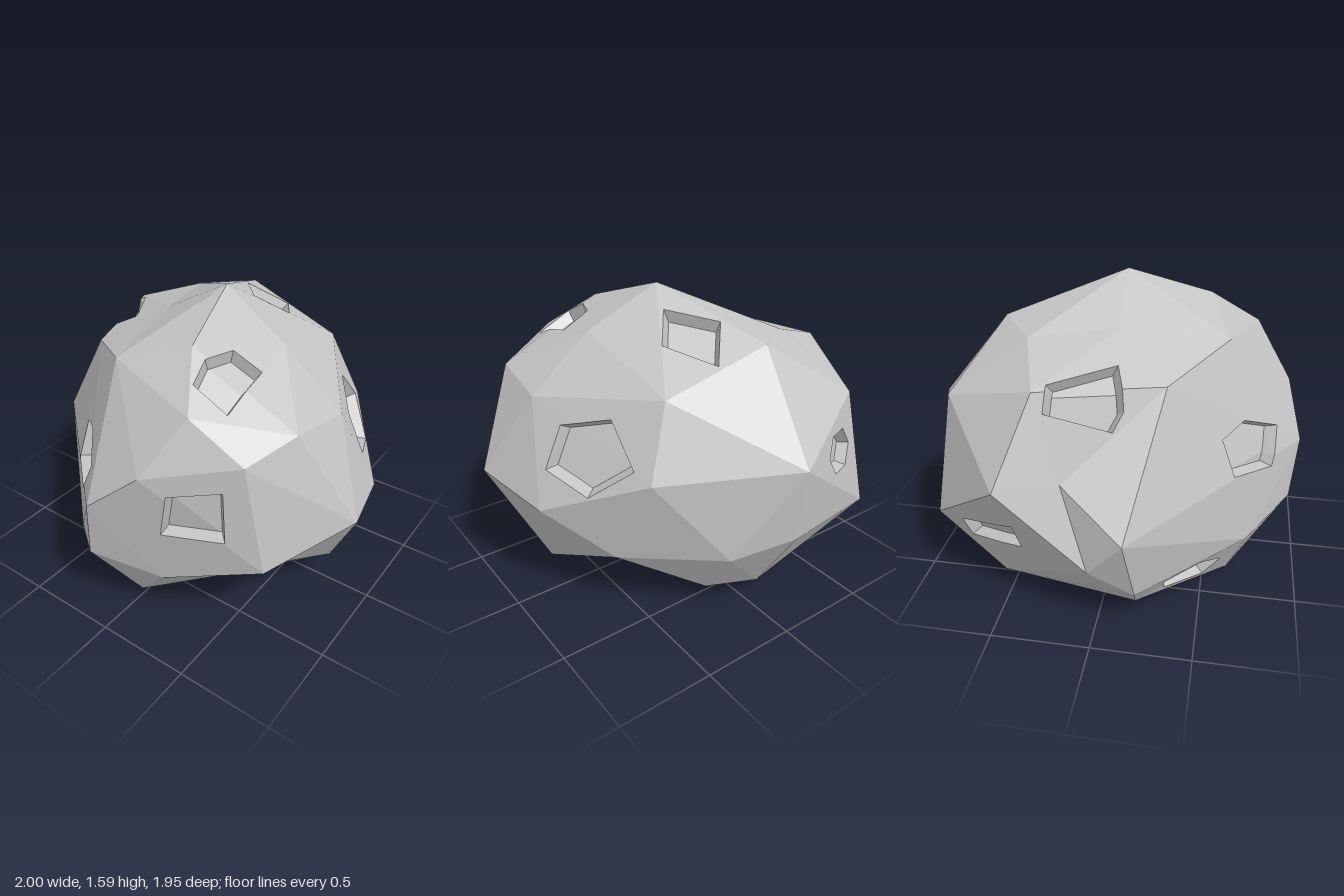
import * as THREE from 'three';
import { ConvexGeometry } from 'three/addons/geometries/ConvexGeometry.js';

const V = (p) => new THREE.Vector3(...p);
const CORE = new THREE.Vector3(0, 0.7, 0);

// Corners of the boulder
const corners = [
  // crown
  [.07, 1.59, .02], [.18, 1.45, .45], [-.19, 1.33, .57], [-.29, 1.39, .03],
  [.45, 1.39, .08], [-.41, 1.36, -.4], [-.15, 1.38, -.58], [.405, 1.21, -.52],
  // shoulders
  [.35, 1.25, .71], [.75, 1.17, .44], [.63, 1.08, .68], [.78, 1.12, .08],
  [-.76, 1.24, -.29], [-.56, 1.22, .3], [-.56, 1.1, -.77],
  // girth
  [1, .69, .27], [.2, .97, .9], [-.07, .74, .97], [.735, .52, .66],
  [-1, .62, .16], [-.97, .82, -.44], [-.08, .89, -.98], [.55, .85, -.61],
  [.9, .62, -.15], [-.115, .415, .94], [-.655, .47, -.85], [-.08, .49, -.935],
  // underside
  [.25, .34, .81], [.77, .2, .03], [.63, .38, -.41], [.22, .41, -.8],
  [-.4, .3, .72], [-.87, .245, .2], [-.93, .4, -.02], [-.76, .115, .19],
  [-.645, .13, -.52], [-.085, .08, -.675], [.2, .115, -.59], [.01, .05, .71],
  [.355, 0, .22], [-.28, .01, .63],
];

// Corners that lie in shallow hollows
const hollows = [
  [-.845, .82, -.155], [.43, .275, .575], [.57, .32, .45], [.5, .2, -.1],
];

// Rims of the pits cut into the surface
const pits = [
  [[-.45, .9, .59], [-.32, .95, .69], [-.16, .86, .84], [-.24, .66, .82], [-.45, .7, .64]],
  [[.32, .89, .85], [.555, .94, .74], [.57, .67, .74], [.28, .645, .86]],
  [[.31, 1.4, .31], [.475, 1.36, .31], [.47, 1.24, .58], [.28, 1.33, .58], [.25, 1.38, .45]],
  [[.77, 1.03, -.13], [.62, 1.1, -.35], [.56, .89, -.5], [.72, .73, -.34], [.83, .81, -.11]],
  [[.105, 1.31, -.53], [.25, 1.36, -.28], [.125, 1.47, -.12], [-.05, 1.45, -.35]],
  [[-.77, 1.14, -.24], [-.69, 1.24, -.24], [-.5, 1.28, .06], [-.68, 1.15, .12], [-.74, 1.08, .08]],
  [[-.31, .85, -.93], [-.36, .95, -.9], [-.47, .95, -.86], [-.53, .85, -.85], [-.48, .75, -.88], [-.37, .75, -.92]],
  [[-.73, .2, .34], [-.59, .24, .5], [-.455, .155, .62], [-.455, .06, .52], [-.65, .115, .33]],
  [[-.75, .48, -.71], [-.72, .36, -.68], [-.87, .42, -.38], [-.92, .58, -.4]],
];

// Rounded stand-in for a corner, pushed out by a factor
function rounded(p, push) {
  const d = V(p).sub(CORE);
  return d.setLength(push * Math.pow(d.length(), 0.6)).add(CORE);
}

// Skin the rounded stand-ins, then put each corner back in its true place
function skin() {
  const trueCorners = [...corners, ...hollows].map(V);
  const standIns = [...corners.map((c) => rounded(c, 1)), ...hollows.map((c) => rounded(c, 1.12))];
  const pos = new ConvexGeometry(standIns).attributes.position;
  const restore = (i) => {
    const p = new THREE.Vector3().fromBufferAttribute(pos, i);
    return trueCorners[standIns.findIndex((s) => s.distanceTo(p) < 1e-4)];
  };
  const faces = [];
  for (let i = 0; i < pos.count; i += 3) faces.push([restore(i), restore(i + 1), restore(i + 2)]);
  return faces;
}

function polygonNormal(poly) {
  const n = new THREE.Vector3();
  for (let i = 1; i < poly.length - 1; i++) {
    n.add(poly[i].clone().sub(poly[0]).cross(poly[i + 1].clone().sub(poly[0])));
  }
  return n.normalize();
}

// Split a polygon by a plane into the parts in front of and behind it
function split(poly, plane) {
  const front = [], back = [];
  poly.forEach((a, i) => {
    const b = poly[(i + 1) % poly.length];
    const da = plane.distanceToPoint(a), db = plane.distanceToPoint(b);
    if (da >= -1e-6) front.push(a);
    if (da <= 1e-6) back.push(a);
    if ((da > 1e-6 && db < -1e-6) || (da < -1e-6 && db > 1e-6)) {
      const m = a.clone().lerp(b, da / (da - db));
      front.push(m);
      back.push(m);
    }
  });
  return [front, back];
}

// Cut one pit: returns the remaining surface, and adds walls and floor to inner
function cutPit(faces, rimPoints, inner) {
  const rim = rimPoints.map(V);
  const mid = rim.reduce((s, p) => s.add(p), new THREE.Vector3()).divideScalar(rim.length);
  const n = polygonNormal(rim);
  if (n.dot(mid.clone().sub(CORE)) < 0) {
    rim.reverse();
    n.negate();
  }
  const planes = rim.map((a, i) => {
    const edge = rim[(i + 1) % rim.length].clone().sub(a);
    return new THREE.Plane().setFromNormalAndCoplanarPoint(n.clone().cross(edge).normalize(), a);
  });
  const sink = (p) => p.clone().sub(mid).multiplyScalar(0.84).add(mid).addScaledVector(n, -0.06);
  const rest = [];
  for (const face of faces) {
    if (polygonNormal(face).dot(n) < 0.2) {
      rest.push(face);
      continue;
    }
    let piece = face;
    const outside = [];
    for (const plane of planes) {
      const [front, back] = split(piece, plane);
      if (back.length > 2) outside.push(back);
      piece = front;
      if (piece.length < 3) break;
    }
    if (piece.length < 3) {
      rest.push(face);
      continue;
    }
    rest.push(...outside);
    inner.push(piece.map(sink));
    piece.forEach((a, i) => {
      const b = piece[(i + 1) % piece.length];
      const onRim = planes.some((q) => Math.abs(q.distanceToPoint(a)) < 1e-5 && Math.abs(q.distanceToPoint(b)) < 1e-5);
      if (onRim) inner.push([a, b, sink(b), sink(a)]);
    });
  }
  return rest;
}

function meshFrom(polys, material, name) {
  const points = [];
  for (const p of polys) {
    for (let i = 1; i < p.length - 1; i++) points.push(p[0], p[i], p[i + 1]);
  }
  const geometry = new THREE.BufferGeometry().setFromPoints(points);
  geometry.computeVertexNormals();
  const mesh = new THREE.Mesh(geometry, material);
  mesh.name = name;
  return mesh;
}

export function createModel() {
  const group = new THREE.Group();
  group.name = 'boulder';
  const stone = new THREE.MeshStandardMaterial({ color: 0xc4c4c4 });
  stone.name = 'grey stone';

  let faces = skin();
  const inner = [];
  for (const rim of pits) faces = cutPit(faces, rim, inner);

  group.add(meshFrom(faces, stone, 'rockSurface'), meshFrom(inner, stone, 'pits'));
  return group;
}
